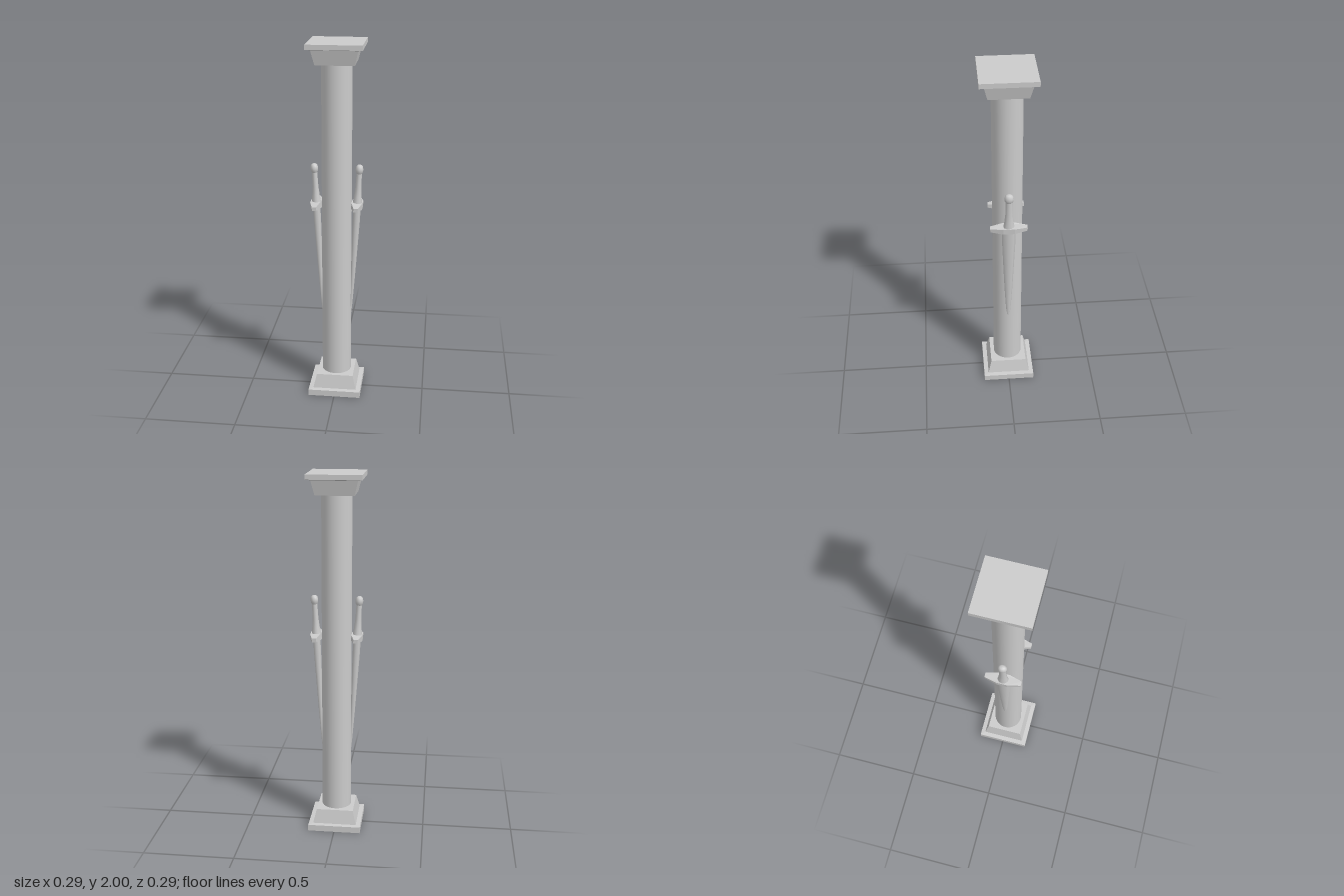
import * as THREE from 'three';

const grey = new THREE.MeshStandardMaterial({ color: 0xcccccc });
const greyOpen = new THREE.MeshStandardMaterial({ color: 0xcccccc, side: THREE.DoubleSide });

function part(name, geometry, material = grey) {
  const mesh = new THREE.Mesh(geometry, material);
  mesh.name = name;
  return mesh;
}

// Square moulding from a profile of [half width, height], bottom to top
function squareMoulding(profile) {
  const points = profile.map(([w, y]) => new THREE.Vector2(w * Math.SQRT2, y));
  const geometry = new THREE.LatheGeometry(points, 4, Math.PI / 4).toNonIndexed();
  geometry.computeVertexNormals();
  return geometry;
}

// Round profile, flattened along x
function flatLathe(profile, segments, flatten) {
  const points = profile.map(([r, y]) => new THREE.Vector2(r, y));
  const geometry = new THREE.LatheGeometry(points, segments);
  geometry.scale(flatten, 1, 1);
  return geometry;
}

// Sword pointing down, centred on its guard, blade width along z
function createSword() {
  const sword = new THREE.Group();

  // Tapering blade with a lens-shaped section
  sword.add(part('blade', flatLathe([
    [0, -0.72], [0.007, -0.66], [0.013, -0.6], [0.022, -0.44],
    [0.03, -0.25], [0.036, -0.1], [0.037, 0],
  ], 8, 0.55)));

  // Crossguard, narrowing towards both ends
  const plan = new THREE.Shape([
    [0.012, -0.1], [0.03, -0.03], [0.03, 0.03], [0.012, 0.1],
    [-0.012, 0.1], [-0.03, 0.03], [-0.03, -0.03], [-0.012, -0.1],
  ].map(([x, y]) => new THREE.Vector2(x, y)));
  const guard = new THREE.ExtrudeGeometry(plan, { depth: 0.032, bevelEnabled: false });
  guard.rotateX(-Math.PI / 2);
  guard.translate(0, -0.016, 0);
  const position = guard.attributes.position;
  for (let i = 0; i < position.count; i++) {
    if (Math.abs(position.getZ(i)) > 0.09) position.setY(i, position.getY(i) * 0.65);
  }
  guard.computeVertexNormals();
  sword.add(part('guard', guard));

  // Grip flaring into the guard
  sword.add(part('grip', flatLathe([
    [0.03, 0.012], [0.024, 0.05], [0.019, 0.1], [0.017, 0.19],
  ], 12, 0.85)));

  // Rounded pommel
  sword.add(part('pommel', flatLathe([
    [0.015, 0.175], [0.023, 0.187], [0.025, 0.202], [0.021, 0.218], [0.012, 0.225], [0, 0.226],
  ], 12, 0.85)));
  return sword;
}

export function createModel() {
  const model = new THREE.Group();
  model.name = 'column';

  // Plinth, hollow underneath
  model.add(part('base', squareMoulding([
    [0.147, 0], [0.147, 0.035], [0.122, 0.037], [0.103, 0.115], [0, 0.115],
  ]), greyOpen));

  // Shaft
  const shaft = new THREE.CylinderGeometry(0.082, 0.082, 1.89, 32, 1, true);
  shaft.translate(0, 0.945, 0);
  model.add(part('shaft', shaft, greyOpen));

  // Capital
  model.add(part('capital', squareMoulding([
    [0, 1.89], [0.103, 1.89], [0.122, 1.968], [0.147, 1.974], [0.147, 2], [0, 2],
  ])));

  // Swords leaning against both sides, tips sunk into the shaft
  for (const side of [1, -1]) {
    const sword = createSword();
    sword.name = side > 0 ? 'leftSword' : 'rightSword';
    sword.position.set(side * 0.112, 1.117, 0);
    sword.rotation.z = -side * 0.052;
    model.add(sword);
  }
  return model;
}
